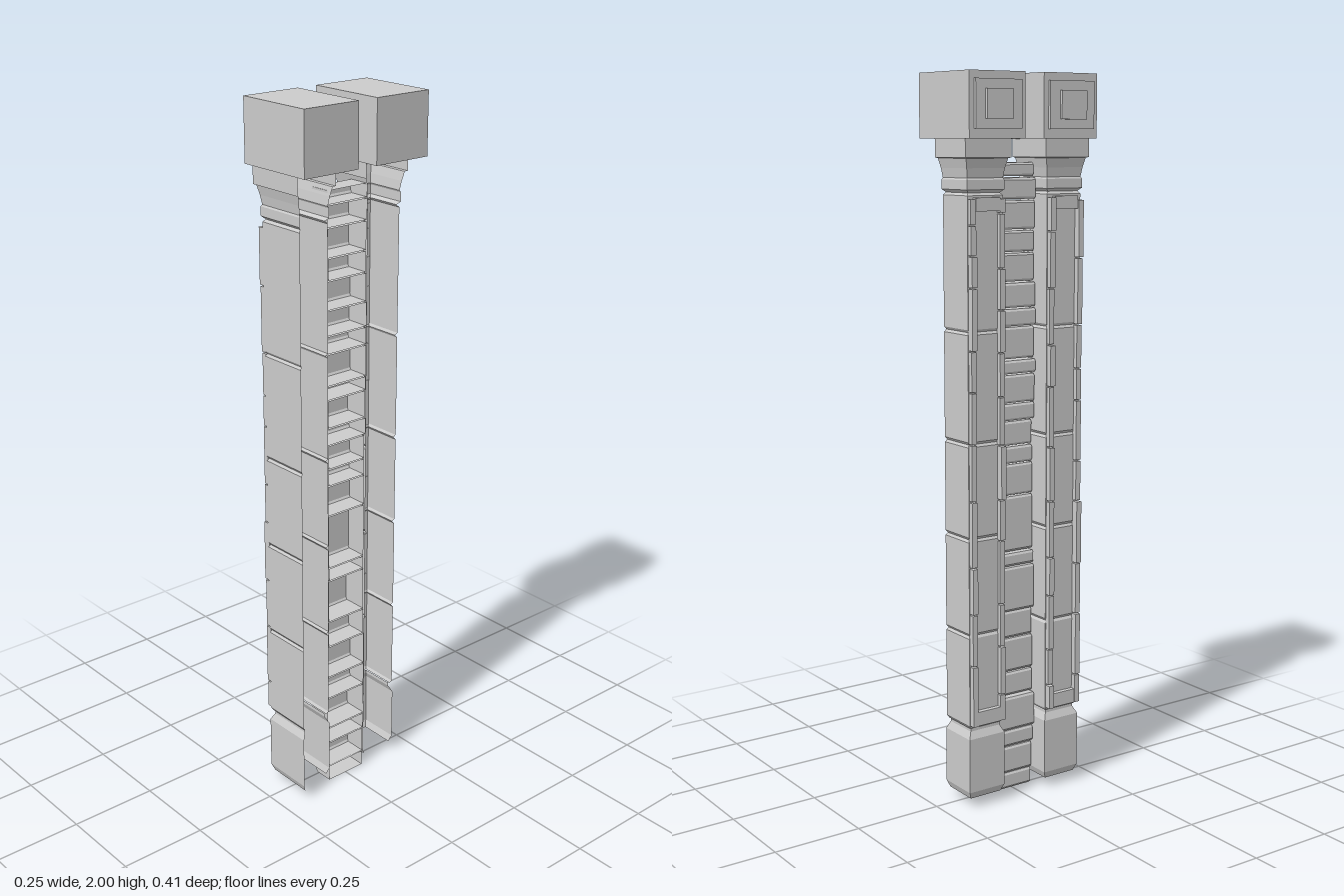
import * as THREE from 'three';

const mat = new THREE.MeshStandardMaterial({ color: 0xcccccc, flatShading: true, side: THREE.DoubleSide });

let seed = 7;
const rand = () => (seed = (seed * 16807) % 2147483647) / 2147483647;

function add(parent, name, geometry) {
  const mesh = new THREE.Mesh(geometry, mat);
  mesh.name = name;
  parent.add(mesh);
  return mesh;
}

// Box given by its limits
function box(parent, name, x0, x1, y0, y1, z0, z1) {
  const m = add(parent, name, new THREE.BoxGeometry(x1 - x0, y1 - y0, Math.abs(z1 - z0)));
  m.position.set((x0 + x1) / 2, (y0 + y1) / 2, (z0 + z1) / 2);
  return m;
}

// Loft an open cross-section through rows of [height, growth]
function loft(rows, section, flip) {
  const pos = [];
  for (let r = 0; r < rows.length - 1; r++) {
    const lo = section(rows[r][1]), hi = section(rows[r + 1][1]);
    for (let i = 0; i < lo.length - 1; i++) {
      const a = [lo[i][0], rows[r][0], lo[i][1]], b = [hi[i][0], rows[r + 1][0], hi[i][1]];
      const c = [lo[i + 1][0], rows[r][0], lo[i + 1][1]], d = [hi[i + 1][0], rows[r + 1][0], hi[i + 1][1]];
      pos.push(...(flip ? [a, c, b, b, c, d] : [a, b, c, c, b, d]).flat());
    }
  }
  const g = new THREE.BufferGeometry();
  g.setAttribute('position', new THREE.Float32BufferAttribute(pos, 3));
  g.computeVertexNormals();
  return g;
}

// A pillar shell, open towards +x; s is its side in z
function pillar(s, outerEnd, innerEnd) {
  const g = new THREE.Group();
  g.name = s > 0 ? 'frontPillar' : 'backPillar';
  const section = (k) => [
    [outerEnd + k * 0.8, s * (0.184 + k)], [-0.07 - k, s * (0.184 + k)],
    [-0.07 - k, s * (0.072 - k)], [innerEnd + k * 0.8, s * (0.072 - k)],
  ];

  // Base block
  add(g, 'base', loft([[0.03, -0.006], [0.05, 0.002], [0.205, 0.002], [0.225, -0.008], [0.235, -0.008]], section, s < 0));

  // Shaft with shallow joints between its stones
  const rows = [[0.235, -0.005], [0.243, 0]];
  for (const y of [0.5, 0.77, 1.03, 1.33]) {
    rows.push([y - 0.007, 0], [y, -0.005], [y + 0.007, 0]);
  }
  rows.push([1.685, 0], [1.692, -0.006]);
  add(g, 'shaft', loft(rows, section, s < 0));

  // Flared neck
  add(g, 'neck', loft([[1.692, -0.006], [1.7, 0.003], [1.725, 0.003], [1.73, 0], [1.755, 0.004],
    [1.78, 0.01], [1.782, 0.016], [1.835, 0.016]], section, s < 0));

  // Capital block with stepped plates
  box(g, 'capital', -0.112, 0.125, 1.83, 2, s * 0.03, s * 0.205);
  box(g, 'capitalPlate', -0.12, -0.11, 1.855, 1.98, s * 0.045, s * 0.19);
  box(g, 'capitalBoss', -0.128, -0.118, 1.88, 1.955, s * 0.077, s * 0.16);

  // Raised frame of worn stones around the sunken panel
  for (const [z0, z1] of [[0.074, 0.09], [0.166, 0.182]]) {
    let y = 0.245;
    while (y < 1.66) {
      const top = Math.min(y + 0.07 + rand() * 0.12, 1.68);
      box(g, 'frameStone', -0.08 - rand() * 0.01, -0.068, y, top - 0.004, s * z0, s * z1);
      y = top;
    }
  }
  box(g, 'bottomRail', -0.084, -0.068, 0.245, 0.285, s * 0.09, s * 0.166);
  box(g, 'topRail', -0.084, -0.068, 1.645, 1.68, s * 0.09, s * 0.166);
  return g;
}

// Stack of hollow stones, open towards +x, between the pillars
function stoneStack() {
  const g = new THREE.Group();
  g.name = 'stoneStack';
  const joints = [0, 0.05, 0.13, 0.18, 0.28, 0.35, 0.45, 0.53, 0.66, 0.7, 0.86, 0.95, 1, 1.07, 1.12,
    1.2, 1.24, 1.33, 1.38, 1.45, 1.53, 1.59, 1.67, 1.73, 1.77];
  for (let i = 0; i < joints.length - 1; i++) {
    const y0 = joints[i] + 0.002, y1 = joints[i + 1] - 0.002;
    const x0 = -0.022 + rand() * 0.015, x1 = 0.048, w = 0.062 + rand() * 0.006;
    const stone = new THREE.Group();
    stone.name = 'stone';
    add(stone, 'stoneFace', loft([[y0, 0], [y0 + 0.006, 0.004], [y1 - 0.006, 0.004], [y1, 0]],
      (k) => [[x1, w], [x0 - k, w], [x0 - k, -w], [x1, -w]], false));
    for (const [y, turn] of [[y0, 1], [y1, -1]]) {
      const shelf = add(stone, 'stoneShelf', new THREE.PlaneGeometry(x1 - x0, 2 * w));
      shelf.rotation.x = turn * Math.PI / 2;
      shelf.position.set((x0 + x1) / 2, y, 0);
    }
    g.add(stone);
  }
  return g;
}

export function createModel() {
  seed = 7;
  const model = new THREE.Group();
  model.name = 'twinPillars';
  model.add(pillar(1, 0.08, 0.055), pillar(-1, 0.045, 0.045), stoneStack());
  return model;
}
